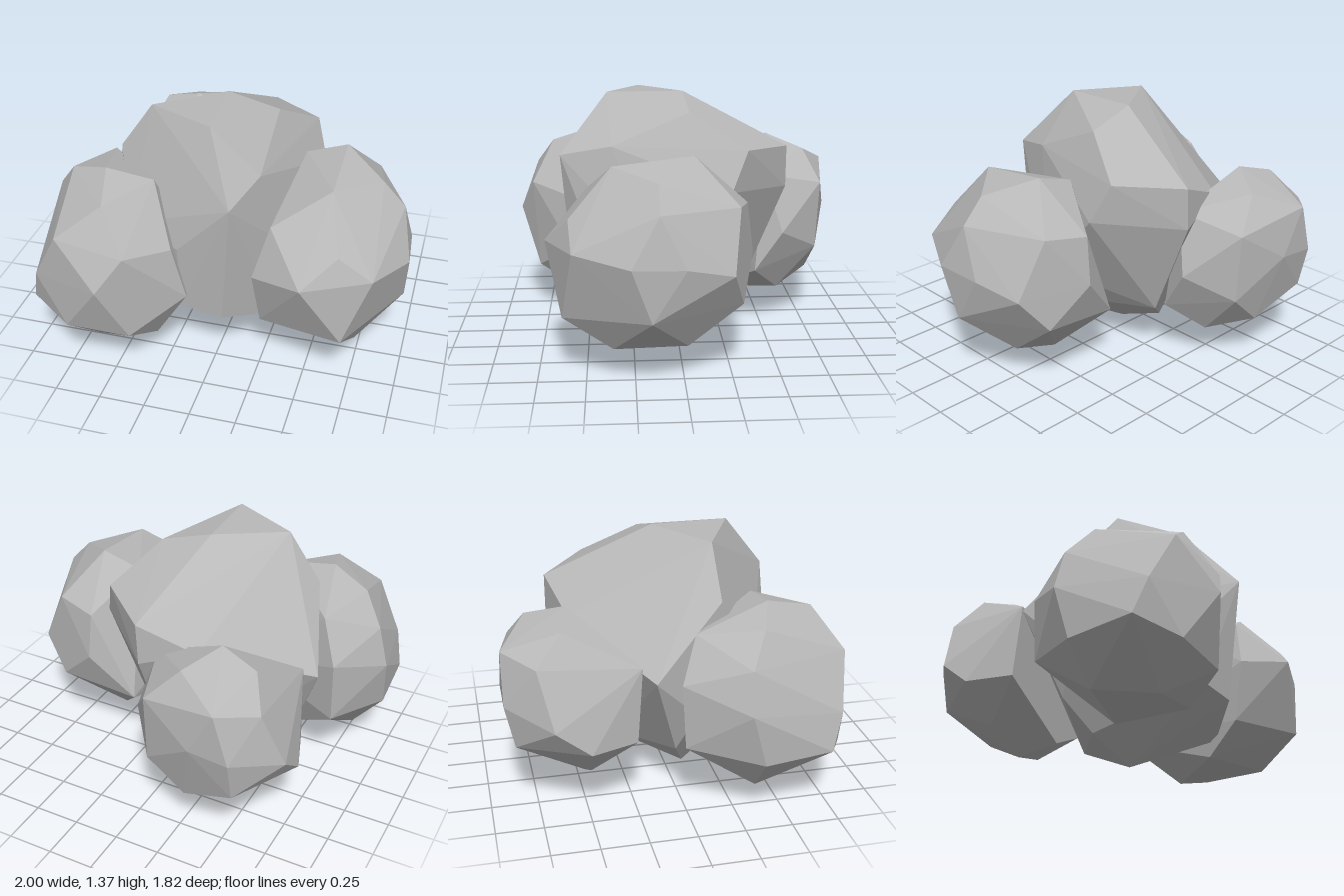
import * as THREE from 'three';
import { ConvexGeometry } from 'three/addons/geometries/ConvexGeometry.js';

// Corners of each faceted boulder, listed from the top down
const boulders = {
  mainBoulder: [
    [-0.42, 1.36, 0.2], [-0.05, 1.37, 0.38], [-0.07, 1.37, -0.04], [0.21, 1.29, -0.06],
    [0.21, 1.11, 0.36], [0.12, 1.05, 0.64], [-0.6, 1.1, 0.21], [0.37, 1.11, -0.36],
    [0.07, 1.08, -0.61], [0.44, 0.9, -0.27], [-0.24, 0.95, -0.53], [0.06, 0.85, -0.61],
    [-0.18, 0.73, 0.58], [0.22, 0.73, 0.42], [-0.5, 0.75, 0.42], [-0.76, 0.75, -0.16],
    [-0.65, 0.5, 0.08], [0.4, 0.5, 0.1], [-0.17, 0.36, 0.57], [0.06, 0.33, 0.58],
    [0.05, 0.3, -0.38], [-0.58, 0.28, -0.02], [0.31, 0.235, 0.33], [-0.1, 0.17, -0.27],
    [-0.42, 0.12, 0.05], [-0.16, 0, 0.09],
  ],
  sideBoulder: [
    [0.59, 1.13, -0.06], [0.59, 1.08, 0.36], [0.82, 1.04, 0.13], [0.37, 1.06, -0.05],
    [0.94, 0.91, 0.13], [0.75, 0.9, -0.28], [0.52, 0.87, -0.34], [0.3, 0.9, 0.5],
    [0.67, 0.83, 0.58], [0.85, 0.7, 0.56], [0.5, 0.68, 0.71], [0.22, 0.62, 0.57],
    [1, 0.66, 0.27], [0.98, 0.65, 0], [0.9, 0.59, -0.24], [0.53, 0.61, -0.37],
    [0.98, 0.38, 0.17], [0.71, 0.33, 0.62], [0.75, 0.4, -0.3], [0.3, 0.35, -0.28],
    [0.25, 0.3, 0.5], [0.75, 0.17, 0.36], [0.29, 0.14, 0.3], [0.5, 0.11, -0.04],
    [0.75, 0.18, -0.02],
  ],
  frontBoulder: [
    [-0.6, 1.09, 0.45], [-0.34, 1.05, 0.44], [-0.82, 1.02, 0.37], [-0.53, 1.02, 0.71],
    [-0.7, 0.98, 0.05], [-0.94, 0.86, 0.28], [-0.76, 0.85, 0.82], [-0.39, 0.79, 0.83],
    [-0.2, 0.75, 0.62], [-0.8, 0.75, -0.04], [-1, 0.64, 0.27], [-0.52, 0.61, 0.91],
    [-0.91, 0.57, 0.77], [-0.13, 0.45, 0.6], [-0.98, 0.35, 0.35], [-0.96, 0.38, 0.71],
    [-0.8, 0.4, -0.02], [-0.73, 0.31, 0.83], [-0.39, 0.28, 0.8], [-0.2, 0.5, 0.2],
    [-0.81, 0.15, 0.35], [-0.63, 0.12, 0.63], [-0.31, 0.16, 0.58], [-0.45, 0.12, 0.22],
  ],
  backBoulder: [
    [-0.4, 1.07, -0.56], [-0.27, 1.0, -0.76], [-0.61, 1.01, -0.61], [-0.52, 0.9, -0.91],
    [-0.7, 0.86, -0.75], [-0.1, 0.83, -0.84], [0, 0.9, -0.5], [-0.7, 0.82, -0.22],
    [-0.6, 0.63, -0.91], [-0.38, 0.65, -0.91], [0.08, 0.58, -0.6], [-0.81, 0.56, -0.68],
    [-0.81, 0.42, -0.5], [-0.1, 0.45, -0.82], [-0.6, 0.4, -0.86], [-0.72, 0.42, -0.25],
    [0.05, 0.35, -0.45], [-0.3, 0.27, -0.8], [-0.62, 0.23, -0.48], [-0.12, 0.2, -0.6],
    [-0.4, 0.11, -0.48], [-0.3, 0.18, -0.3],
  ],
};

export function createModel() {
  const group = new THREE.Group();
  group.name = 'rockCluster';
  const stone = new THREE.MeshStandardMaterial({ color: 0xb8b8b8, flatShading: true });
  stone.name = 'stone grey';

  // Wrap each set of corners in flat facets
  for (const [name, corners] of Object.entries(boulders)) {
    const points = corners.map((c) => new THREE.Vector3(...c));
    const mesh = new THREE.Mesh(new ConvexGeometry(points), stone);
    mesh.name = name;
    group.add(mesh);
  }
  return group;
}
